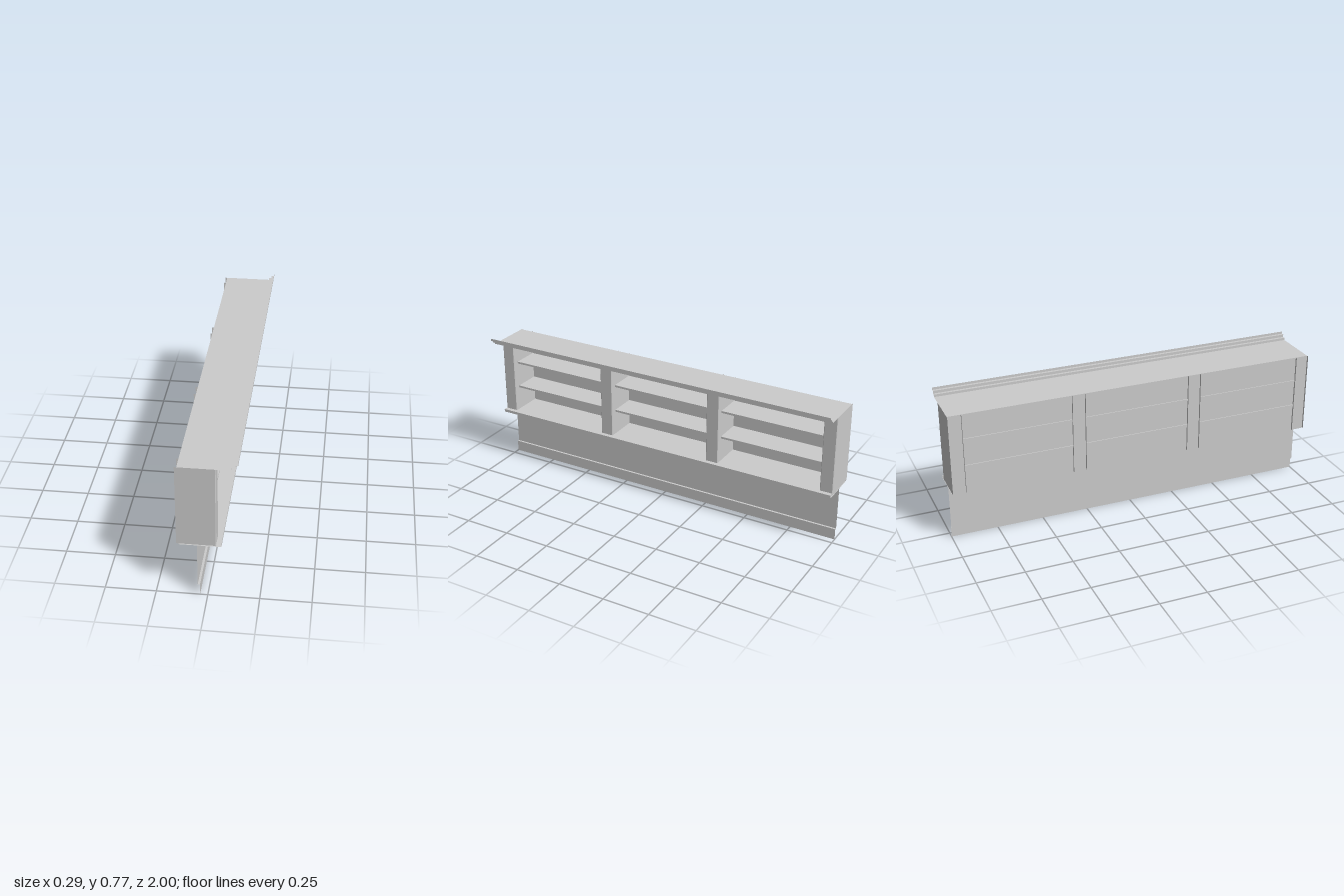
import * as THREE from 'three';

const material = new THREE.MeshStandardMaterial({ color: 0xcccccc, flatShading: true, side: THREE.DoubleSide });

// Thin open sheet: an (x, y) profile swept along z from lo to hi
function sheet(profile, lo, hi) {
  const pos = [];
  for (let i = 0; i < profile.length - 1; i++) {
    const [ax, ay] = profile[i];
    const [bx, by] = profile[i + 1];
    pos.push(ax, ay, lo, bx, by, lo, bx, by, hi);
    pos.push(ax, ay, lo, bx, by, hi, ax, ay, hi);
  }
  const geo = new THREE.BufferGeometry();
  geo.setAttribute('position', new THREE.Float32BufferAttribute(pos, 3));
  geo.computeVertexNormals();
  return geo;
}

export function createModel() {
  const group = new THREE.Group();
  const add = (name, geo) => {
    const mesh = new THREE.Mesh(geo, material);
    mesh.name = name;
    group.add(mesh);
    return mesh;
  };
  const BACK = -0.135;

  // Lower wall and skirting board
  add('lowerWall', sheet([[-0.048, 0.06], [-0.048, 0.295]], -1, 1));
  add('skirtingBoard', sheet([[-0.037, 0], [-0.037, 0.06], [-0.048, 0.06]], -1, 1));

  // Ledge under the shelving, open at the ends
  add('ledge', sheet([[BACK, 0.295], [0.067, 0.295], [0.067, 0.31], [BACK, 0.31]], -1, 1));

  // Back panel, top and stepped cornice
  add('backPanel', sheet([[BACK, 0.295], [BACK, 0.73]], -1, 1));
  add('topPanel', sheet([[BACK, 0.73], [0.1, 0.73]], -1, 1));
  add('cornice', sheet([
    [0.1, 0.73], [0.114, 0.73], [0.114, 0.743], [0.129, 0.743],
    [0.129, 0.757], [0.144, 0.757], [0.144, 0.77],
  ], -1, 1));

  // Posts: U-shaped sheets with bevelled front corners, open at the back
  const w = 0.035, b = 0.003;
  const postGeo = sheet([
    [-0.146, -w], [0.043 - b, -w], [0.043, -w + b],
    [0.043, w - b], [0.043 - b, w], [-0.146, w],
  ], 0.3, 0.73).rotateX(-Math.PI / 2);
  const postZ = [-0.965, -0.322, 0.322, 0.965];
  for (const z of postZ) add('post', postGeo).position.z = z;

  // Two shelves in each bay
  for (let bay = 0; bay < 3; bay++) {
    const z0 = postZ[bay] + w;
    const z1 = postZ[bay + 1] - w;
    for (const y of [0.446, 0.593]) {
      const geo = new THREE.BoxGeometry(0.15, 0.011, z1 - z0);
      add('shelf', geo).position.set(-0.065, y, (z0 + z1) / 2);
    }
  }
  return group;
}
